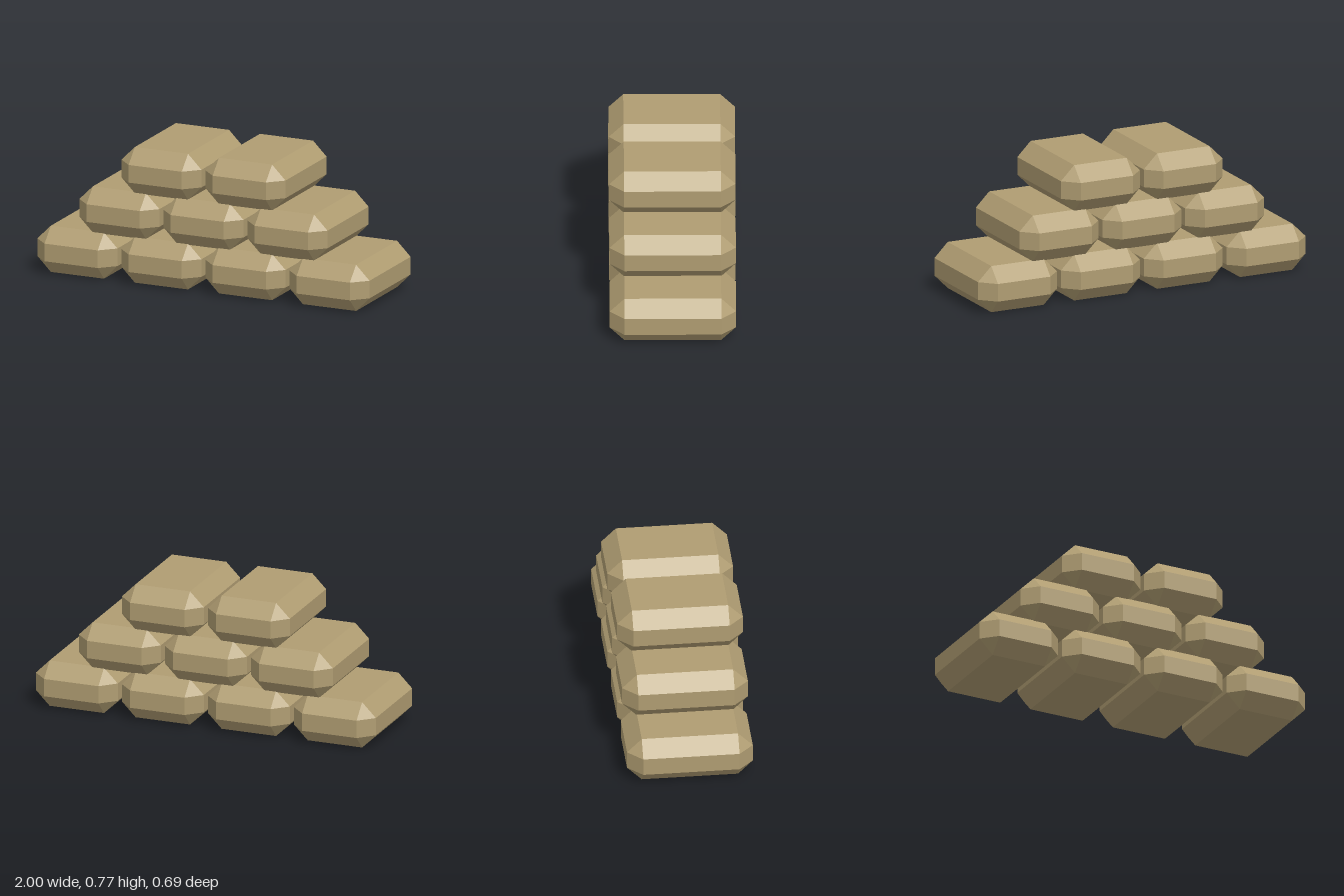
import * as THREE from 'three';
import { ConvexGeometry } from 'three/addons/geometries/ConvexGeometry.js';

// Half sizes of one sandbag, and the width of its bevel
const HALF = [0.241, 0.131, 0.345];
const BEVEL = 0.081;
const STEP_X = 0.506;
const STEP_Y = 0.2535;

// Box with every edge and corner cut off at 45 degrees
function bevelledBox([x, y, z], b) {
  const points = [];
  for (const sx of [-1, 1]) for (const sy of [-1, 1]) for (const sz of [-1, 1]) {
    points.push(
      new THREE.Vector3(sx * x, sy * (y - b), sz * (z - b)),
      new THREE.Vector3(sx * (x - b), sy * y, sz * (z - b)),
      new THREE.Vector3(sx * (x - b), sy * (y - b), sz * z)
    );
  }
  return new ConvexGeometry(points);
}

export function createModel() {
  const model = new THREE.Group();
  model.name = 'sandbagWall';
  const canvas = new THREE.MeshStandardMaterial({ color: 0xb09d72, flatShading: true });
  canvas.name = 'tan canvas';
  const bag = bevelledBox(HALF, BEVEL);

  // Three staggered rows, each one bag shorter than the row below
  [4, 3, 2].forEach((count, row) => {
    const layer = new THREE.Group();
    layer.name = `sandbagRow${row + 1}`;
    for (let i = 0; i < count; i++) {
      const mesh = new THREE.Mesh(bag, canvas);
      mesh.name = `sandbag${i + 1}`;
      mesh.position.set((i - (count - 1) / 2) * STEP_X, HALF[1] + row * STEP_Y, 0);
      layer.add(mesh);
    }
    model.add(layer);
  });
  return model;
}
